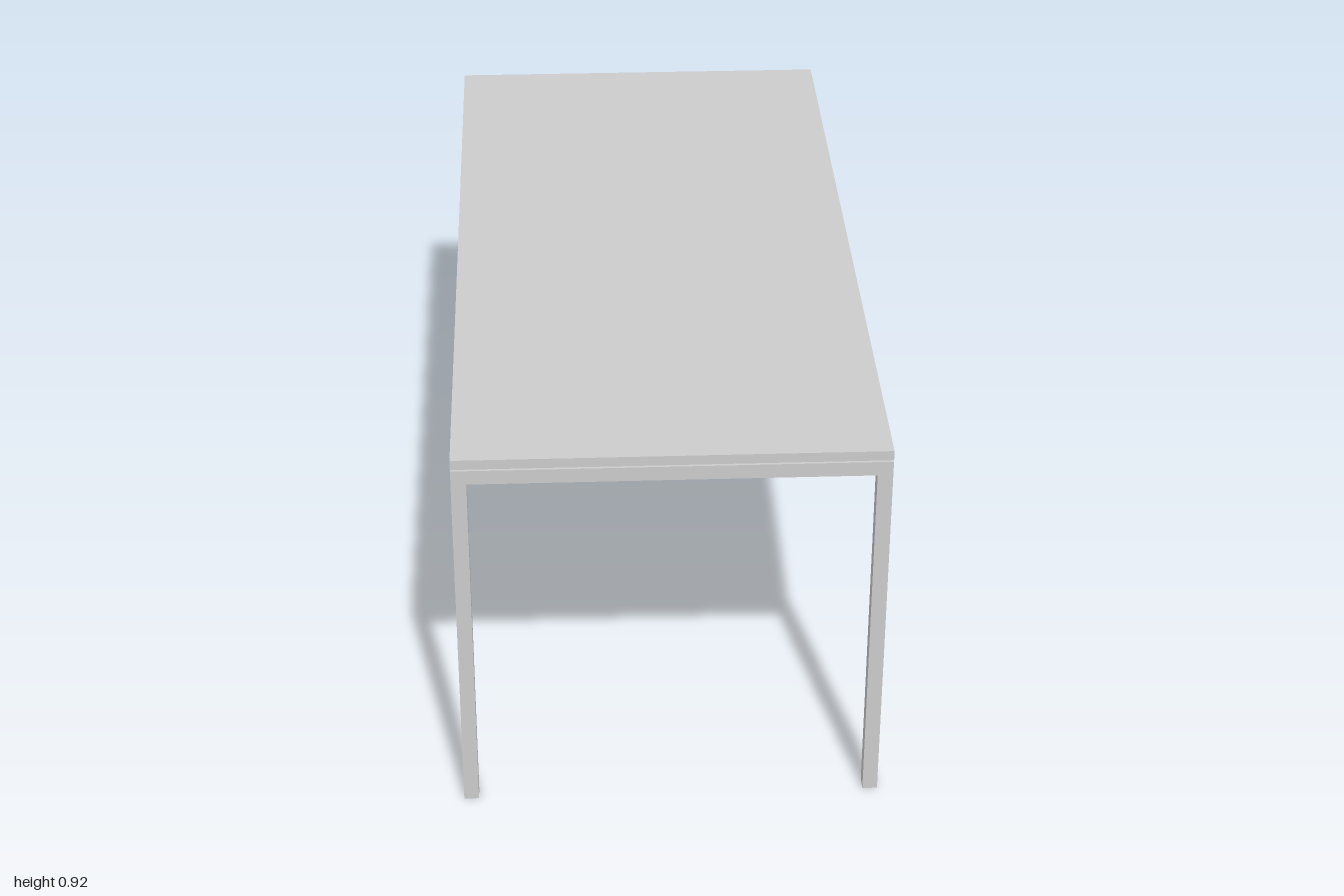
import * as THREE from 'three';

const W = 0.478;         // half width
const L = 1;             // half length
const TUBE = 0.034;      // square tube size
const FRAME_TOP = 0.893;
const TOP_BASE = 0.897, TOP_HEIGHT = 0.92;
const RAIL_X = 0.365;

const material = new THREE.MeshStandardMaterial({ color: 0xcccccc });

export function createModel() {
  const model = new THREE.Group();
  const add = (geometry, name, x, y, z) => {
    const mesh = new THREE.Mesh(geometry, material);
    mesh.name = name;
    mesh.position.set(x, y, z);
    model.add(mesh);
  };

  // Table top
  const thickness = TOP_HEIGHT - TOP_BASE;
  add(new THREE.BoxGeometry(2 * W, thickness, 2 * L), 'tableTop', 0, TOP_BASE + thickness / 2, 0);

  // End frames: two legs and a crossbar in one upside-down U
  const inner = W - TUBE, under = FRAME_TOP - TUBE;
  const outline = new THREE.Shape([
    [-W, 0], [-inner, 0], [-inner, under], [inner, under],
    [inner, 0], [W, 0], [W, FRAME_TOP], [-W, FRAME_TOP],
  ].map(([x, y]) => new THREE.Vector2(x, y)));
  const frame = new THREE.ExtrudeGeometry(outline, { depth: TUBE, bevelEnabled: false });
  add(frame, 'frontLegFrame', 0, 0, L - TUBE);
  add(frame, 'backLegFrame', 0, 0, -L);

  // Long rails between the end frames, with spacer discs under the top
  const rail = new THREE.BoxGeometry(TUBE, TUBE, 2 * (L - TUBE));
  const gap = TOP_BASE - FRAME_TOP;
  const spacer = new THREE.CylinderGeometry(0.015, 0.013, gap, 24);
  for (const [side, sign] of [['left', 1], ['right', -1]]) {
    add(rail, side + 'Rail', sign * RAIL_X, FRAME_TOP - TUBE / 2, 0);
    for (const z of [-0.85, 0, 0.85]) {
      add(spacer, side + 'Spacer', sign * RAIL_X, FRAME_TOP + gap / 2, z);
    }
  }
  return model;
}
